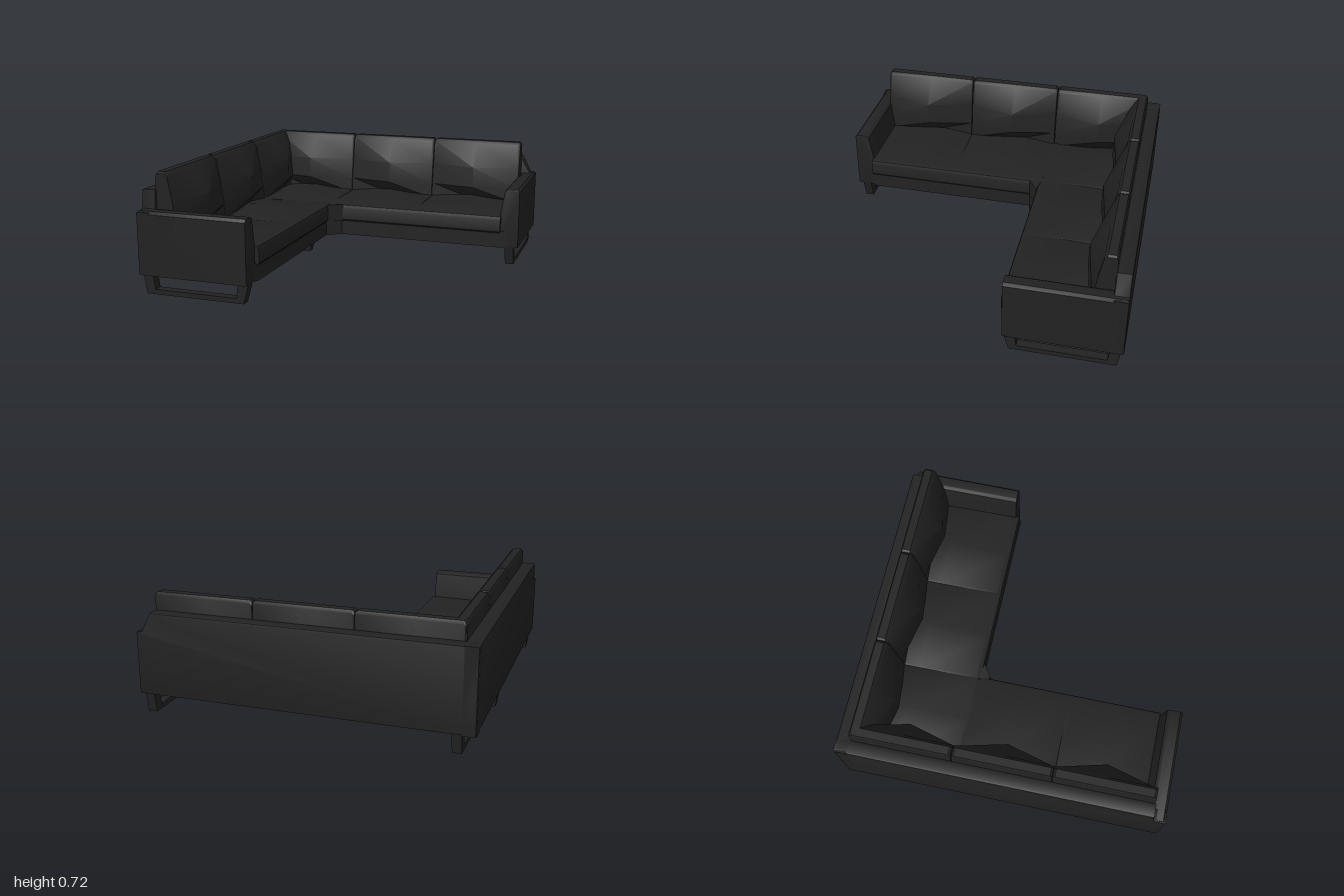
import * as THREE from 'three';
import { toCreasedNormals } from 'three/addons/utils/BufferGeometryUtils.js';

const leather = new THREE.MeshStandardMaterial({ color: 0x222222 });
leather.name = 'black leather';

// Swap x and z (the two wings mirror each other on the diagonal), keeping faces outward
function swapXZ(geometry) {
  const g = geometry.index ? geometry.toNonIndexed() : geometry;
  const src = g.attributes.position;
  const out = [];
  for (let i = 0; i < src.count; i += 3) {
    for (const k of [2, 1, 0]) out.push(src.getZ(i + k), src.getY(i + k), src.getX(i + k));
  }
  const result = new THREE.BufferGeometry();
  result.setAttribute('position', new THREE.Float32BufferAttribute(out, 3));
  return result;
}

// Skin closed [y, z] rings standing at the given x positions, with end caps
function loft(xs, rings) {
  const n = rings[0].length;
  const pos = [], idx = [];
  rings.forEach((ring, i) => ring.forEach(([y, z]) => pos.push(xs[i], y, z)));
  for (let i = 0; i < rings.length - 1; i++) {
    for (let j = 0; j < n; j++) {
      const a = i * n + j, b = i * n + (j + 1) % n;
      idx.push(a, b, b + n, a, b + n, a + n);
    }
  }
  const last = (rings.length - 1) * n;
  for (let j = 1; j < n - 1; j++) idx.push(0, j + 1, j, last, last + j, last + j + 1);
  const g = new THREE.BufferGeometry();
  g.setAttribute('position', new THREE.Float32BufferAttribute(pos, 3));
  g.setIndex(idx);
  return g;
}

const toShape = (points) => new THREE.Shape(points.map(([x, y]) => new THREE.Vector2(x, y)));

// Upright x-y outline running from z0 to z1
function upright(shape, z0, z1, bevel = 0) {
  const g = new THREE.ExtrudeGeometry(shape, {
    depth: z1 - z0 - 2 * bevel, bevelEnabled: bevel > 0, bevelSegments: 2,
    bevelSize: bevel, bevelThickness: bevel, bevelOffset: -bevel,
  });
  return g.translate(0, 0, z0 + bevel);
}

// Floor-plan outline of [x, z] points running from y0 to y1
function slab(points, y0, y1) {
  const g = new THREE.ExtrudeGeometry(toShape(points.map(([x, z]) => [x, -z])),
    { depth: y1 - y0, bevelEnabled: false });
  return g.rotateX(-Math.PI / 2).translate(0, y0, 0);
}

// Back cushion: bulges at the middle of its width and tucks in at the foot
function backCushion(x0, x1) {
  const ring = (bulge, inset) => [
    [0.26, -0.915], [0.705 - inset, -0.915], [0.722 - inset, -0.905], [0.722 - inset, -0.855],
    [0.705 - inset, -0.838], [0.55, -0.81 + 0.08 * bulge], [0.41, -0.79 + 0.062 * bulge],
    [0.31, -0.78 - 0.02 * bulge],
  ];
  const xs = [x0 + 0.002, x0 + 0.015, (x0 + x1) / 2, x1 - 0.015, x1 - 0.002];
  return loft(xs, [ring(0, 0.01), ring(0.05, 0), ring(1, 0), ring(0.05, 0), ring(0, 0.01)]);
}

// Seat cushion: slightly domed towards the back
function seatCushion(x0, x1) {
  const ring = (dome) => [
    [0.215, -0.86], [0.325 + 0.02 * dome, -0.86], [0.325 + 0.03 * dome, -0.68],
    [0.33, -0.31], [0.322, -0.285], [0.3, -0.277], [0.225, -0.277], [0.215, -0.285],
  ];
  return loft([x0, x0 + 0.01, (x0 + x1) / 2, x1 - 0.01, x1],
    [ring(-0.2), ring(0), ring(1), ring(0), ring(-0.2)]);
}

// Sled leg: tapered posts joined by a floor bar, running along x
function sledLeg(right, z) {
  const shape = toShape([[-0.965, 0], [right - 0.035, 0], [right, 0.125], [-0.985, 0.125]]);
  shape.holes.push(new THREE.Path([
    [-0.91, 0.03], [-0.92, 0.118], [right - 0.07, 0.118], [right - 0.08, 0.03],
  ].map(([x, y]) => new THREE.Vector2(x, y))));
  return upright(shape, z, z + 0.055);
}

export function createModel() {
  const model = new THREE.Group();
  model.name = 'cornerSofa';

  function add(parent, name, geometry, swap = false) {
    const g = toCreasedNormals(swap ? swapXZ(geometry) : geometry, 0.6);
    const mesh = new THREE.Mesh(g, leather);
    mesh.name = name;
    parent.add(mesh);
  }

  // L-shaped base with a chamfered inner corner
  add(model, 'base', slab([
    [-0.985, -0.985], [0.95, -0.985], [0.95, -0.31], [0.87, -0.29], [-0.2, -0.29],
    [-0.29, -0.22], [-0.29, 0.87], [-0.33, 0.95], [-0.985, 0.95],
  ], 0.118, 0.225));
  add(model, 'innerCornerCushion', slab([[-0.3, -0.3], [-0.19, -0.279], [-0.279, -0.22]], 0.215, 0.328));
  add(model, 'cornerSeatCushion', seatCushion(-0.86, -0.3));

  // Both wings share the same parts; the side wing is the swapped copy
  for (const side of [false, true]) {
    const wing = new THREE.Group();
    wing.name = side ? 'sideWing' : 'backWing';
    model.add(wing);

    const slopeEnd = side ? 0.93 : 0.965;
    add(wing, 'backRail', upright(toShape([
      [-1, 0.118], [1, 0.118], [1, 0.495], [slopeEnd, 0.505], [side ? 0.92 : 0.905, 0.617], [-1, 0.617],
    ]), -1, -0.91, 0.012), side);

    add(wing, 'armrest', upright(toShape([
      [0.86, 0.118], [1, 0.118], [1, 0.485], [0.985, 0.503], [0.925, 0.503], [0.905, 0.49], [0.86, 0.24],
    ]), -0.99, -0.305, 0.004), side);

    for (const [x0, x1] of [[-0.3, 0.3], [0.3, 0.885]]) {
      add(wing, 'seatCushion', seatCushion(x0, x1), side);
    }
    for (const [x0, x1] of [[-0.91, -0.3], [-0.3, 0.3], [0.3, 0.91]]) {
      add(wing, 'backCushion', backCushion(x0, x1), side);
    }
    add(wing, 'endLeg', sledLeg(-0.305, 0.915), side);
  }

  // Legs under the corner
  add(model, 'cornerLeg', sledLeg(-0.305, -0.92), true);
  add(model, 'innerLeg', sledLeg(-0.37, -0.255));

  return model;
}
